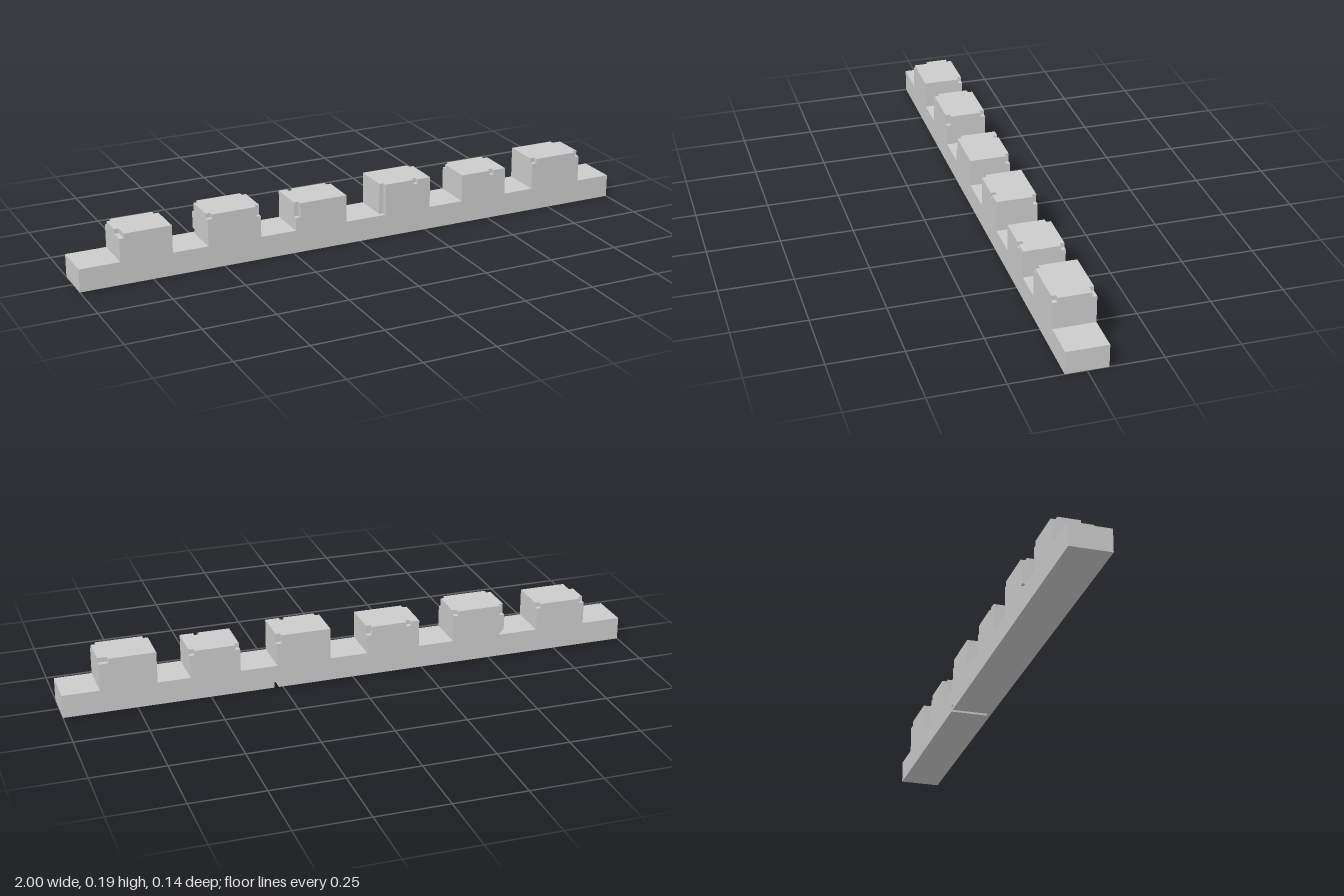
import * as THREE from 'three';

const D = 0.071; // half depth of the wall
const N = 0.016; // usual chip size
const BASE = 0.08;

// A box [x0,x1,y0,y1,z0,z1] with smaller boxes cut away: the box is split along
// every cut plane and only the outward faces of the remaining cells are kept.
function carvedBox(box, cuts) {
  const planes = [0, 1, 2].map((a) => {
    const lo = box[a * 2], hi = box[a * 2 + 1];
    const inside = cuts.flatMap((c) => [c[a * 2], c[a * 2 + 1]]).filter((v) => v > lo + 1e-5 && v < hi - 1e-5);
    return [...new Set([lo, ...inside, hi])].sort((p, q) => p - q);
  });
  const solid = (cell) => {
    if (cell.some((k, a) => k < 0 || k >= planes[a].length - 1)) return false;
    const mid = cell.map((k, a) => (planes[a][k] + planes[a][k + 1]) / 2);
    return !cuts.some((c) => mid.every((m, a) => m > c[a * 2] && m < c[a * 2 + 1]));
  };
  const pos = [];
  const addFace = (cell, a, s) => {
    const b = (a + 1) % 3, c = (a + 2) % 3;
    const corner = (u, v) => {
      const p = [];
      p[a] = planes[a][cell[a] + (s > 0 ? 1 : 0)];
      p[b] = planes[b][cell[b] + u];
      p[c] = planes[c][cell[c] + v];
      return p;
    };
    const q = [corner(0, 0), corner(1, 0), corner(1, 1), corner(0, 1)];
    if (s < 0) q.reverse();
    for (const k of [0, 1, 2, 0, 2, 3]) pos.push(...q[k]);
  };
  for (let i = 0; i < planes[0].length - 1; i++)
    for (let j = 0; j < planes[1].length - 1; j++)
      for (let k = 0; k < planes[2].length - 1; k++) {
        const cell = [i, j, k];
        if (!solid(cell)) continue;
        for (let a = 0; a < 3; a++)
          for (const s of [-1, 1]) {
            const next = [...cell];
            next[a] += s;
            if (!solid(next)) addFace(cell, a, s);
          }
      }
  const g = new THREE.BufferGeometry();
  g.setAttribute('position', new THREE.Float32BufferAttribute(pos, 3));
  g.computeVertexNormals();
  return g;
}

// Merlons: x range, top, and chips as [x0, x1, drop from top, side (1 front, -1 back), length in z]
const MERLONS = [
  { x: [-0.86, -0.68], top: 0.176, chips: [
    [-0.86, -0.844, N, 1, 0.05], [-0.86, -0.844, N, -1, N], [-0.696, -0.68, N, -1, N]] },
  { x: [-0.556, -0.367], top: 0.19, chips: [
    [-0.556, -0.54, N, 1, N], [-0.383, -0.367, 0.035, 1, N],
    [-0.556, -0.54, 0.035, -1, N], [-0.383, -0.367, N, -1, N]],
    low: [-0.556, -0.54, BASE, BASE + N, -D, -D + N] },
  { x: [-0.24, -0.052], top: 0.176, chips: [
    [-0.24, -0.224, 0.05, 1, N], [-0.21, -0.194, N, -1, N], [-0.068, -0.052, 0.03, -1, N]] },
  { x: [0.08, 0.268], top: 0.19, chips: [
    [0.08, 0.096, 0.11, 1, N], [0.204, 0.22, N, 1, N], [0.252, 0.268, 0.03, -1, N]] },
  { x: [0.396, 0.568], top: 0.176, chips: [
    [0.506, 0.522, N, 1, N], [0.396, 0.412, N, -1, N], [0.552, 0.568, N, -1, N]] },
  { x: [0.68, 0.873], top: 0.19, chips: [
    [0.68, 0.696, N, 1, N], [0.857, 0.873, N, 1, N], [0.841, 0.873, N, -1, N]] },
];

export function createModel() {
  const group = new THREE.Group();
  const material = new THREE.MeshStandardMaterial({ color: 0xcccccc, flatShading: true });
  const add = (name, box, cuts) => {
    const mesh = new THREE.Mesh(carvedBox(box, cuts), material);
    mesh.name = name;
    group.add(mesh);
  };

  // Long base with one groove on its underside, open at the back
  add('wallBase', [-1, 1, 0, BASE, -D, D], [[0.264, 0.28, 0, 0.02, -D, 0.058]]);

  // Merlons with chipped edges
  MERLONS.forEach(({ x, top, chips, low }, i) => {
    const cuts = chips.map(([x0, x1, drop, side, len]) => [
      x0, x1, top - drop, top, side > 0 ? D - len : -D, side > 0 ? D : -D + len]);
    if (low) cuts.push(low);
    add('merlon' + (i + 1), [x[0], x[1], BASE, top, -D, D], cuts);
  });
  return group;
}
